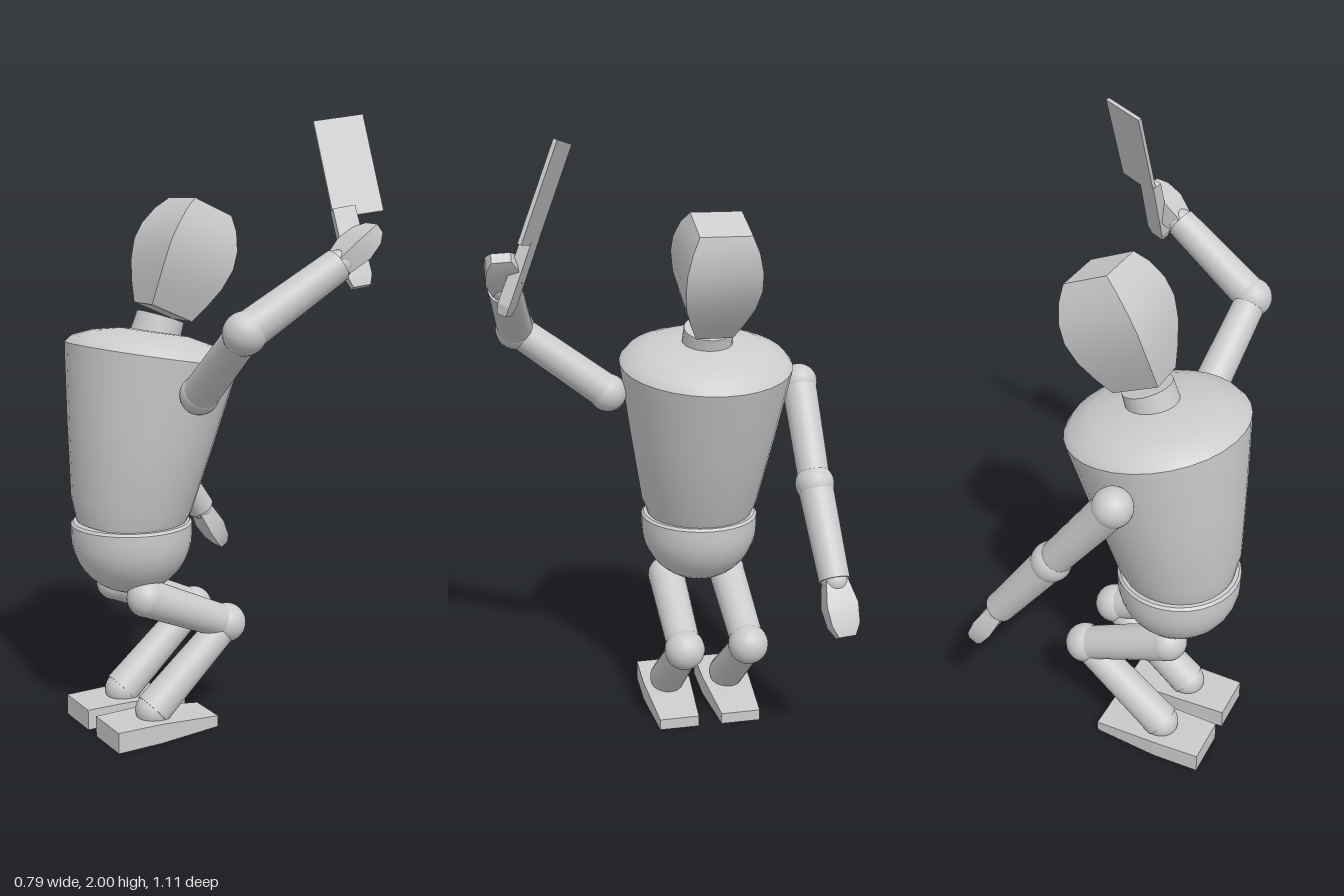
import * as THREE from 'three';
import { toCreasedNormals } from 'three/addons/utils/BufferGeometryUtils.js';

const V = (x, y, z) => new THREE.Vector3(x, y, z);
const material = new THREE.MeshStandardMaterial({ color: 0xcccccc });

function add(parent, name, geometry) {
  const mesh = new THREE.Mesh(geometry, material);
  mesh.name = name;
  parent.add(mesh);
  return mesh;
}

// Four-cornered solid along +y; each section is [height, half x, half z, x offset]
function loft(sections, crease = 0.6) {
  const positions = [], index = [];
  for (const [t, hx, hz, ox = 0] of sections) {
    positions.push(ox + hx, t, hz, ox + hx, t, -hz, ox - hx, t, -hz, ox - hx, t, hz);
  }
  for (let s = 0; s < sections.length - 1; s++) {
    for (let i = 0; i < 4; i++) {
      const a = s * 4 + i, b = s * 4 + (i + 1) % 4;
      index.push(a, b, b + 4, a, b + 4, a + 4);
    }
  }
  const e = (sections.length - 1) * 4;
  index.push(e, e + 1, e + 2, e, e + 2, e + 3, 0, 2, 1, 0, 3, 2);
  const g = new THREE.BufferGeometry();
  g.setAttribute('position', new THREE.Float32BufferAttribute(positions, 3));
  g.setIndex(index);
  return toCreasedNormals(g, crease);
}

// Puts a mesh at an origin with its y axis along dir and its x axis near hint
function place(mesh, origin, dir, hint) {
  const y = dir.clone().normalize();
  const z = hint.clone().cross(y).normalize();
  const x = y.clone().cross(z);
  mesh.quaternion.setFromRotationMatrix(new THREE.Matrix4().makeBasis(x, y, z));
  mesh.position.copy(origin);
  return mesh;
}

function ball(parent, name, p, r) {
  add(parent, name, new THREE.SphereGeometry(r, 24, 16)).position.copy(p);
}

// Tapered round bar from a to b
function bar(parent, name, a, b, ra, rb) {
  const d = b.clone().sub(a);
  const mesh = add(parent, name, new THREE.CylinderGeometry(rb, ra, d.length(), 24));
  mesh.position.copy(a).addScaledVector(d, 0.5);
  mesh.quaternion.setFromUnitVectors(V(0, 1, 0), d.normalize());
}

function lathe(parent, name, points) {
  const g = new THREE.LatheGeometry(points.map(([r, y]) => new THREE.Vector2(r, y)), 32);
  return add(parent, name, toCreasedNormals(g, 0.6));
}

function arm(name, shoulder, elbow, wrist, tip, thicknessHint) {
  const g = new THREE.Group();
  g.name = name;
  ball(g, 'shoulderJoint', shoulder, 0.062);
  bar(g, 'upperArm', shoulder, elbow, 0.058, 0.052);
  ball(g, 'elbowJoint', elbow, 0.064);
  bar(g, 'forearm', elbow, wrist, 0.058, 0.05);
  ball(g, 'wristJoint', wrist, 0.044);
  const d = tip.clone().sub(wrist), l = d.length();
  const hand = loft([[0, 0.028, 0.036], [l * 0.45, 0.034, 0.052], [l * 0.8, 0.027, 0.046], [l, 0.016, 0.028]]);
  place(add(g, 'hand', hand), wrist, d, thicknessHint);
  return g;
}

function leg(name, z) {
  const g = new THREE.Group();
  g.name = name;
  const hip = V(-0.2, 0.475, z), knee = V(0.11, 0.335, z), ankle = V(-0.18, 0.085, z);
  ball(g, 'hipJoint', hip, 0.064);
  bar(g, 'thigh', hip, knee, 0.063, 0.056);
  ball(g, 'kneeJoint', knee, 0.067);
  bar(g, 'shin', knee, ankle, 0.053, 0.062);
  ball(g, 'ankleJoint', ankle, 0.058);
  // Wedge-shaped foot, lower and narrower at the toe
  const foot = loft([[0, 0.035, 0.08, 0.035], [0.16, 0.033, 0.085, 0.033], [0.385, 0.019, 0.068, 0.019]], 0.1);
  place(add(g, 'foot', foot), V(-0.35, 0, z), V(1, 0, 0), V(0, 1, 0));
  return g;
}

export function createModel() {
  const model = new THREE.Group();
  model.name = 'crouchingMannequin';
  const midZ = -0.163;

  // Pelvis bowl with a flat top
  const bowl = [];
  for (let i = 0; i <= 10; i++) {
    const a = (i / 10) * Math.PI / 2;
    bowl.push([0.2 * Math.sin(a), 0.67 - 0.2 * Math.cos(a)]);
  }
  bowl.push([0.2, 0.705], [0.192, 0.713], [0, 0.713]);
  lathe(model, 'pelvis', bowl).position.set(-0.19, 0, midZ);

  // Torso leaning forward, with a low dome over the shoulders
  const torso = lathe(model, 'torso', [
    [0, -0.09], [0.17, -0.08], [0.2, 0], [0.245, 0.25], [0.28, 0.46], [0.285, 0.495],
    [0.265, 0.52], [0.2, 0.547], [0.11, 0.565], [0, 0.57],
  ]);
  place(torso, V(-0.19, 0.77, midZ), V(0.165, 0.986, 0), V(1, 0, 0));

  bar(model, 'neck', V(-0.11, 1.27, midZ), V(-0.075, 1.375, midZ), 0.086, 0.08);

  // Angular head tipped forward
  const head = loft([
    [0, 0.08, 0.06], [0.06, 0.099, 0.085], [0.13, 0.117, 0.109], [0.2, 0.126, 0.12],
    [0.26, 0.119, 0.118], [0.32, 0.1, 0.103], [0.365, 0.075, 0.082],
  ]);
  place(add(model, 'head', head), V(-0.065, 1.39, midZ), V(0.39, 0.92, 0), V(1, 0, 0));

  model.add(arm('raisedLeftArm', V(-0.125, 1.165, 0.16), V(-0.155, 1.38, 0.45),
    V(0.13, 1.565, 0.5), V(0.25, 1.67, 0.515), V(-0.6, 0.8, 0)));
  model.add(arm('loweredRightArm', V(-0.125, 1.168, -0.487), V(0.09, 0.88, -0.485),
    V(0.285, 0.62, -0.497), V(0.38, 0.465, -0.51), V(0.8, 0.55, 0)));
  model.add(leg('leftLeg', -0.05), leg('rightLeg', -0.267));

  // Cleaver held in the raised hand
  const cleaver = new THREE.Group();
  cleaver.name = 'cleaver';
  const across = V(0.14, 0.015, 0.06);
  const handle = loft([[0, 0.026, 0.014], [0.03, 0.036, 0.018], [0.24, 0.034, 0.016]], 0.3);
  place(add(cleaver, 'handle', handle), V(0.21, 1.5, 0.51), V(-0.005, 0.22, -0.085), across);
  const blade = loft([[0, 0.076, 0.006], [0.3, 0.076, 0.006]], 0.3);
  place(add(cleaver, 'blade', blade), V(0.25, 1.705, 0.44), V(0, 0.935, -0.355), across);
  model.add(cleaver);

  return model;
}
